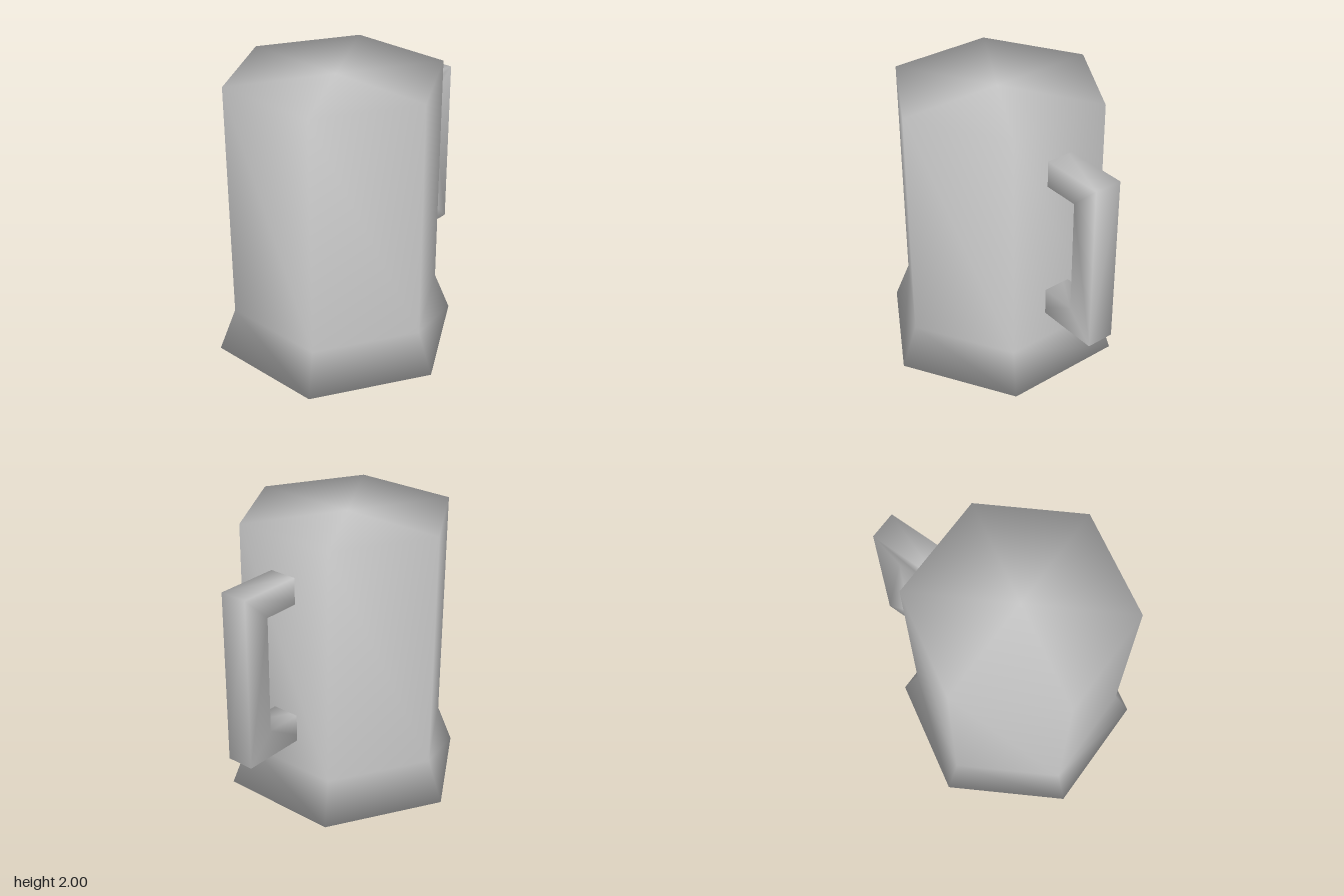
import * as THREE from 'three';
import { mergeVertices } from 'three/addons/utils/BufferGeometryUtils.js';

// Weld all corners so that normals run smoothly over every edge
function smooth(geometry) {
  geometry.deleteAttribute('uv');
  geometry.deleteAttribute('normal');
  const welded = mergeVertices(geometry, 1e-4);
  welded.computeVertexNormals();
  return welded;
}

export function createModel() {
  const group = new THREE.Group();
  group.name = 'mug';
  const grey = new THREE.MeshStandardMaterial({ color: 0xc8c8c8 });
  grey.name = 'grey';

  // Six-sided body with a flared foot and a closed top
  const profile = [[0, 0], [0.88, 0], [0.76, 0.3], [0.76, 2], [0, 2]]
    .map(([r, y]) => new THREE.Vector2(r, y));
  const body = new THREE.Mesh(smooth(new THREE.LatheGeometry(profile, 6)), grey);
  body.name = 'body';
  body.position.x = -0.18;
  group.add(body);

  // Square C-shaped handle, its ends sunk into the wall
  const outline = [
    [0.4, 0.52], [0.94, 0.52], [0.94, 1.75], [0.4, 1.75],
    [0.4, 1.56], [0.74, 1.56], [0.74, 0.72], [0.4, 0.72],
  ].map(([x, y]) => new THREE.Vector2(x, y));
  const bar = new THREE.ExtrudeGeometry(new THREE.Shape(outline), { depth: 0.2, bevelEnabled: false });
  bar.translate(0, 0, -0.1);
  const handle = new THREE.Mesh(smooth(bar), grey);
  handle.name = 'handle';
  group.add(handle);

  return group;
}
